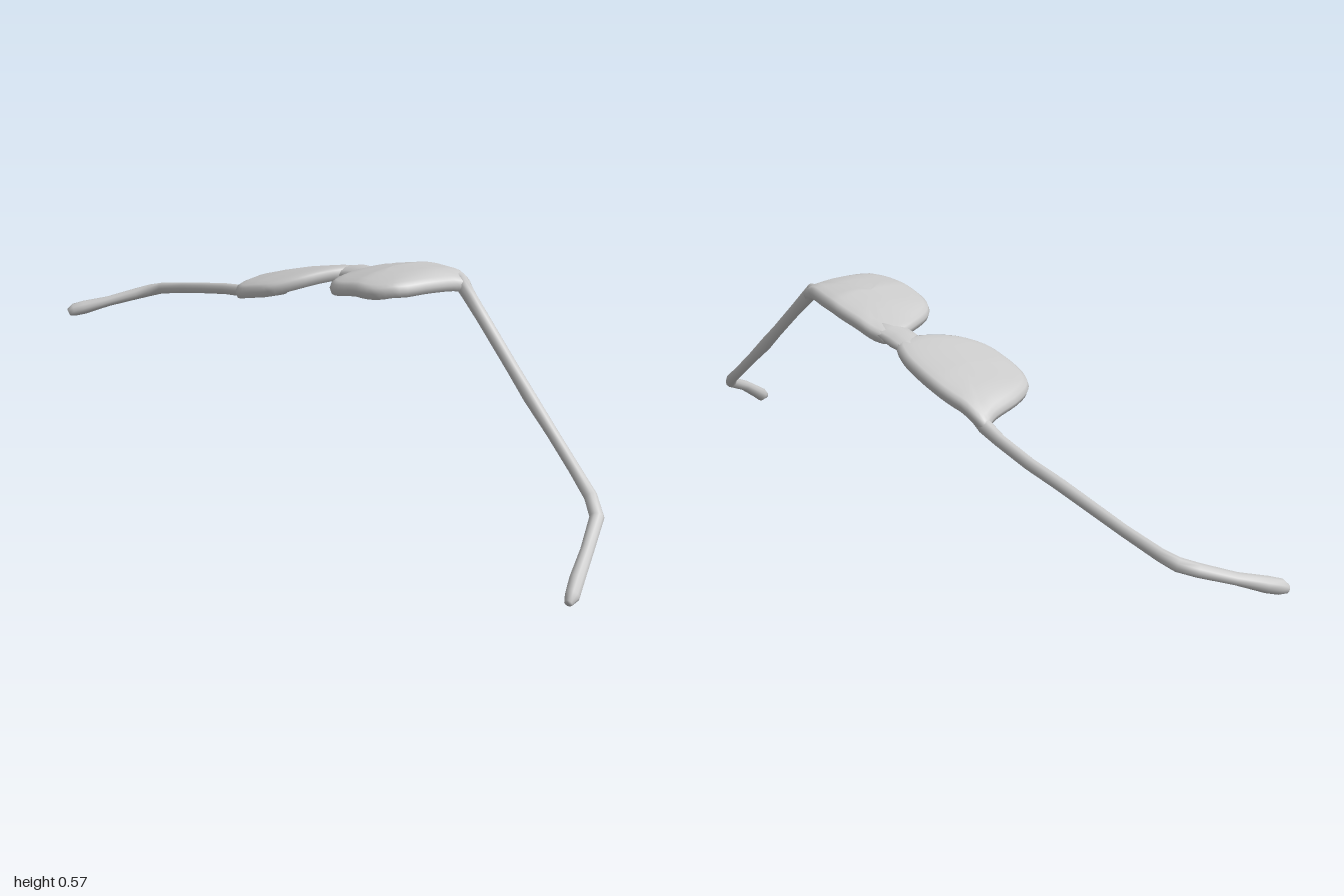
import * as THREE from 'three';

const material = new THREE.MeshStandardMaterial({ color: 0xcccccc, roughness: 0.8 });

// Skin a list of closed rings (each running counter-clockwise about the direction of travel)
function skin(name, rings) {
  const n = rings[0].length;
  const pos = rings.flat().flatMap((p) => [p.x, p.y, p.z]);
  const index = [];
  for (let i = 0; i < rings.length - 1; i++) {
    for (let j = 0; j < n; j++) {
      const k = (j + 1) % n;
      const a = i * n + j, b = i * n + k, c = a + n, d = b + n;
      index.push(a, b, c, b, d, c);
    }
  }
  const geo = new THREE.BufferGeometry();
  geo.setAttribute('position', new THREE.Float32BufferAttribute(pos, 3));
  geo.setIndex(index);
  geo.computeVertexNormals();
  const mesh = new THREE.Mesh(geo, material);
  mesh.name = name;
  return mesh;
}

// Rod through stations [x, y, z, halfWidth, halfHeight], closed at both ends
function rod(name, stations, sides = 10) {
  const pts = stations.map(([x, y, z]) => new THREE.Vector3(x, y, z));
  const up = new THREE.Vector3(0, 1, 0);
  const ring = (i, scale) => {
    const t = pts[Math.min(i + 1, pts.length - 1)].clone().sub(pts[Math.max(i - 1, 0)]).normalize();
    const side = up.clone().cross(t).normalize();
    const top = t.clone().cross(side);
    return Array.from({ length: sides }, (_, j) => {
      const a = (j / sides) * Math.PI * 2;
      return pts[i].clone()
        .addScaledVector(side, Math.cos(a) * stations[i][3] * scale)
        .addScaledVector(top, Math.sin(a) * stations[i][4] * scale);
    });
  };
  const rings = pts.map((_, i) => ring(i, 1));
  return skin(name, [ring(0, 0), ...rings, ring(pts.length - 1, 0)]);
}

// Height of the front frame's middle surface: a bent line along x, domed along z
const SPINE = [[-0.27, 0.395], [-0.25, 0.407], [-0.2, 0.435], [-0.1, 0.463], [0, 0.485], [0.05, 0.495],
  [0.1, 0.501], [0.15, 0.51], [0.2, 0.528], [0.3, 0.55], [0.4, 0.553], [0.46, 0.53]];
function frameY(x, z) {
  let i = 0;
  while (i < SPINE.length - 2 && x > SPINE[i + 1][0]) i++;
  const [x0, y0] = SPINE[i], [x1, y1] = SPINE[i + 1];
  return y0 + ((y1 - y0) * (x - x0)) / (x1 - x0) + 0.008 - 0.02 * ((z + 0.03) / 0.15) ** 2;
}

// Lens shell: scaled copies of an outline, from the hollow underside over the rim to the domed top
function lens(name, outline, cx, cz) {
  const curve = new THREE.CatmullRomCurve3(outline.map(([x, z]) => new THREE.Vector3(x, 0, z)), true);
  const rim = curve.getPoints(56).slice(0, -1);
  const profile = [[0, -0.005], [0.25, -0.005], [0.5, -0.007], [0.75, -0.011], [0.9, -0.017], [0.97, -0.015],
    [1, 0], [0.97, 0.011], [0.9, 0.015], [0.75, 0.017], [0.5, 0.017], [0.25, 0.017], [0, 0.017]];
  return skin(name, profile.map(([s, h]) => rim.map((p) => {
    const x = cx + (p.x - cx) * s, z = cz + (p.z - cz) * s;
    return new THREE.Vector3(x, frameY(x, z) + h, z);
  })));
}

export function createModel() {
  const model = new THREE.Group();
  model.name = 'sunglasses';

  // Lenses
  model.add(lens('rightLens', [
    [0.03, -0.118], [-0.03, -0.128], [-0.12, -0.131], [-0.2, -0.12], [-0.262, -0.103], [-0.25, -0.06],
    [-0.23, 0.03], [-0.2, 0.09], [-0.155, 0.118], [-0.08, 0.125], [-0.02, 0.118], [0.03, 0.07],
    [0.058, 0.005], [0.075, -0.04], [0.075, -0.095],
  ], -0.09, -0.01));
  model.add(lens('leftLens', [
    [0.38, -0.12], [0.3, -0.13], [0.22, -0.125], [0.15, -0.113], [0.112, -0.095], [0.114, -0.04],
    [0.138, 0.025], [0.175, 0.09], [0.22, 0.118], [0.3, 0.125], [0.37, 0.118], [0.41, 0.08],
    [0.43, 0], [0.44, -0.07], [0.45, -0.104],
  ], 0.285, -0.01));

  // Bridge
  model.add(rod('bridge', [0.03, 0.06, 0.095, 0.13, 0.16].map((x) =>
    [x, frameY(x, -0.065), -0.065, 0.042, x === 0.095 ? 0.021 : 0.016])));

  // Temple arms, each ending in a hooked, slightly swollen ear tip
  model.add(rod('rightArm', [
    [-0.2, 0.43, -0.095, 0.016, 0.016], [-0.25, 0.398, -0.092, 0.017, 0.02], [-0.3, 0.38, -0.091, 0.014, 0.017],
    [-0.4, 0.357, -0.09, 0.014, 0.016], [-0.5, 0.344, -0.091, 0.015, 0.015], [-0.6, 0.326, -0.09, 0.014, 0.015],
    [-0.7, 0.307, -0.088, 0.013, 0.015], [-0.8, 0.287, -0.08, 0.014, 0.016], [-0.84, 0.275, -0.066, 0.016, 0.017],
    [-0.87, 0.263, -0.035, 0.017, 0.016], [-0.92, 0.241, 0.03, 0.017, 0.014], [-0.96, 0.224, 0.085, 0.019, 0.019],
    [-0.977, 0.217, 0.11, 0.018, 0.018], [-0.985, 0.21, 0.124, 0.011, 0.01],
  ]));
  model.add(rod('leftArm', [
    [0.38, 0.555, -0.1, 0.016, 0.016], [0.425, 0.548, -0.092, 0.016, 0.02], [0.46, 0.517, -0.09, 0.014, 0.018],
    [0.5, 0.48, -0.09, 0.014, 0.016], [0.6, 0.386, -0.089, 0.014, 0.015], [0.66, 0.33, -0.088, 0.014, 0.017],
    [0.73, 0.268, -0.088, 0.013, 0.014], [0.8, 0.208, -0.085, 0.013, 0.014], [0.86, 0.162, -0.077, 0.015, 0.014],
    [0.9, 0.132, -0.055, 0.016, 0.015], [0.94, 0.09, 0.015, 0.015, 0.015], [0.965, 0.048, 0.07, 0.017, 0.017],
    [0.981, 0.024, 0.1, 0.016, 0.019], [0.988, 0.015, 0.119, 0.009, 0.009],
  ]));

  return model;
}
